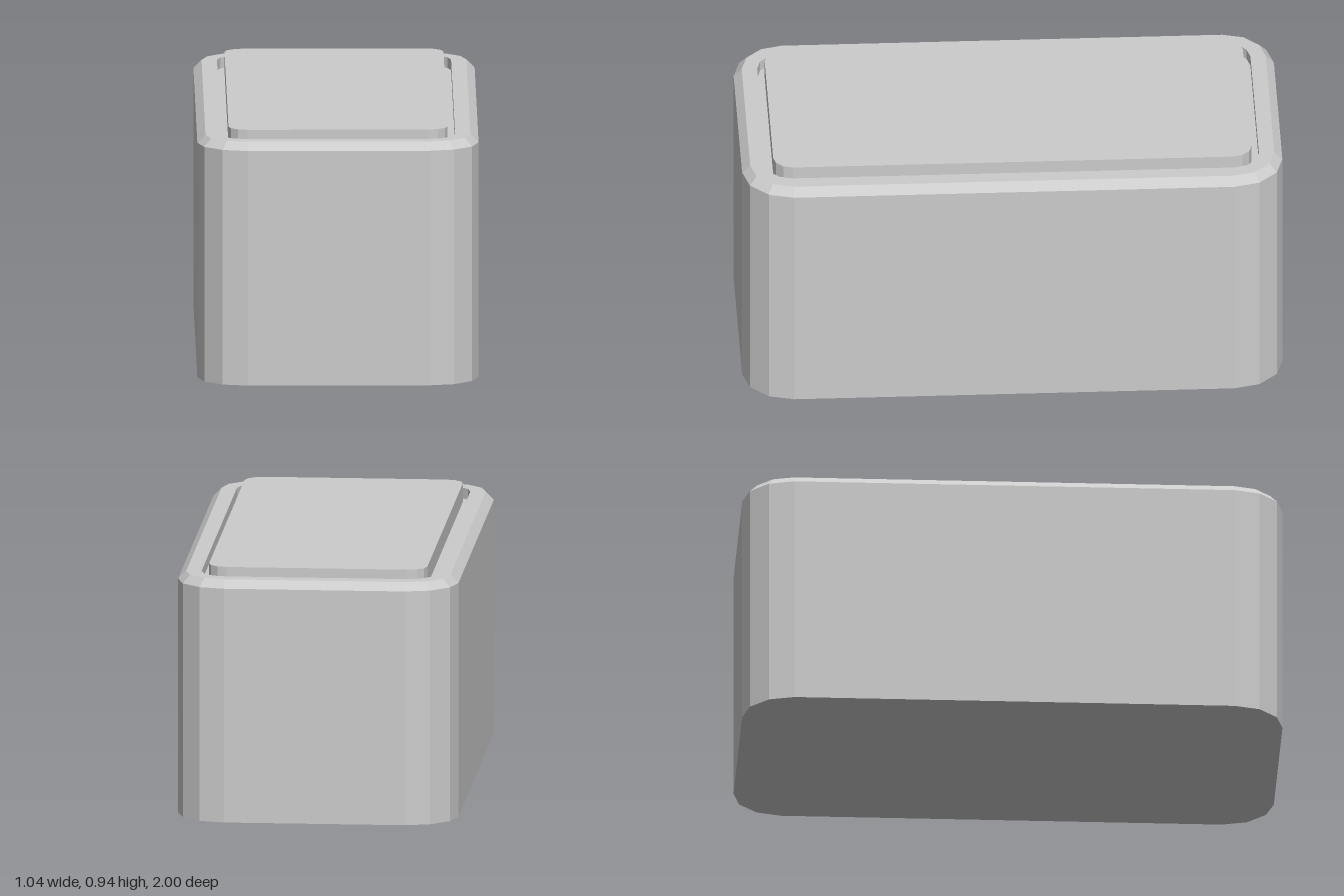
import * as THREE from 'three';

const CX = 0.335, CZ = 0.815; // corner arc centres, shared by every outline
const STEPS = 3;              // facets per rounded corner

// Rounded-rectangle ring, counter-clockwise seen from above
function ring([r, y]) {
  const pts = [];
  [[1, -1], [-1, -1], [-1, 1], [1, 1]].forEach(([sx, sz], c) => {
    for (let i = 0; i <= STEPS; i++) {
      const a = (c + i / STEPS) * Math.PI / 2;
      pts.push([sx * CX + r * Math.cos(a), y, sz * CZ - r * Math.sin(a)]);
    }
  });
  return pts;
}

// Joins rings along a profile of [corner radius, height] and caps both ends
function loft(name, profile, material) {
  const rings = profile.map(ring), n = rings[0].length, pos = [];
  const tri = (...pts) => pts.forEach(p => pos.push(...p));
  const first = rings[0], last = rings[rings.length - 1];
  for (let i = 0; i < n; i++) {
    const j = (i + 1) % n;
    for (let k = 0; k + 1 < rings.length; k++) {
      const p = rings[k], q = rings[k + 1];
      tri(p[i], p[j], q[j]);
      tri(p[i], q[j], q[i]);
    }
    tri([0, first[0][1], 0], first[j], first[i]);
    tri([0, last[0][1], 0], last[i], last[j]);
  }
  const g = new THREE.BufferGeometry();
  g.setAttribute('position', new THREE.Float32BufferAttribute(pos, 3));
  g.computeVertexNormals();
  const mesh = new THREE.Mesh(g, material);
  mesh.name = name;
  return mesh;
}

export function createModel() {
  const group = new THREE.Group();
  group.name = 'box';
  const material = new THREE.MeshStandardMaterial({ color: 0xcccccc, flatShading: true });

  // Body: straight walls, chamfered rim and a shallow recess for the lid
  group.add(loft('body', [[0.185, 0], [0.185, 0.88], [0.155, 0.91], [0.098, 0.91], [0.098, 0.87]], material));

  // Lid: raised panel sitting in the recess with a narrow gap around it
  group.add(loft('lid', [[0.07, 0.87], [0.07, 0.94]], material));
  return group;
}
